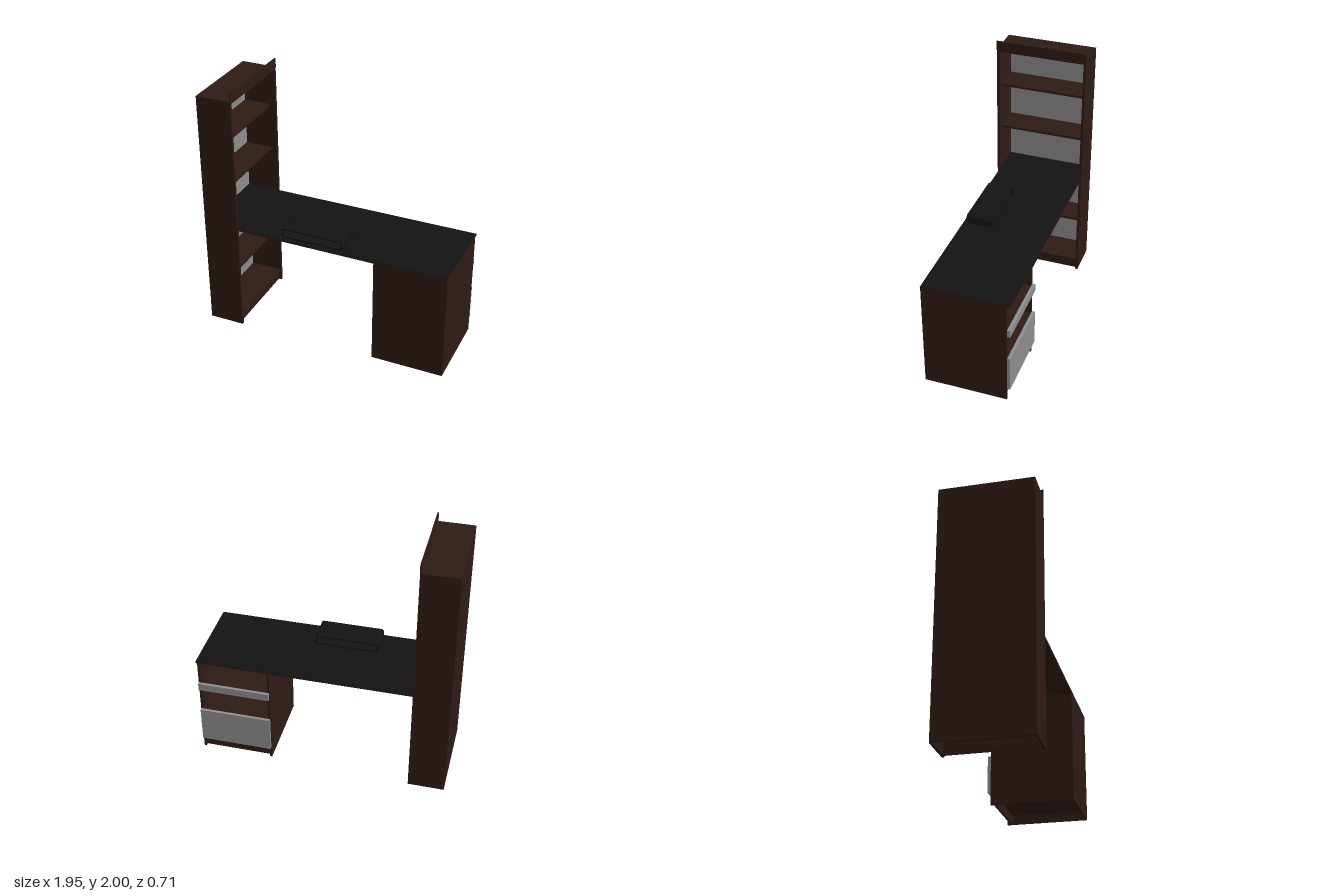
import * as THREE from 'three';

const wood = new THREE.MeshStandardMaterial({ color: 0x2e1a15 });
const black = new THREE.MeshStandardMaterial({ color: 0x131313 });
const grey = new THREE.MeshStandardMaterial({ color: 0x8c8c8c });

// Adds a box given by its minimum and maximum on each axis
function board(parent, name, [x0, x1], [y0, y1], [z0, z1], material = wood) {
  const mesh = new THREE.Mesh(new THREE.BoxGeometry(x1 - x0, y1 - y0, z1 - z0), material);
  mesh.position.set((x0 + x1) / 2, (y0 + y1) / 2, (z0 + z1) / 2);
  mesh.name = name;
  parent.add(mesh);
  return mesh;
}

// Traces a rounded rectangle into a Shape or Path
function roundedRect(path, w, h, r) {
  const x = w / 2 - r, y = h / 2 - r;
  path.absarc(x, y, r, 0, Math.PI / 2);
  path.absarc(-x, y, r, Math.PI / 2, Math.PI);
  path.absarc(-x, -y, r, Math.PI, Math.PI * 1.5);
  path.absarc(x, -y, r, Math.PI * 1.5, Math.PI * 2);
  path.closePath();
  return path;
}

// Tall bookcase, open towards +x
function createBookcase() {
  const g = new THREE.Group();
  g.name = 'bookcase';
  const inner = [-0.335, 0.335];
  board(g, 'bookcaseSideFront', [-0.975, -0.695], [0, 1.93], [0.335, 0.355]);
  board(g, 'bookcaseSideBack', [-0.975, -0.695], [0, 1.93], [-0.355, -0.335]);
  board(g, 'bookcaseTop', [-0.975, -0.695], [1.912, 1.93], inner);
  board(g, 'bookcaseOuterBack', [-0.975, -0.968], [0, 1.912], inner);
  board(g, 'bookcaseBackPanel', [-0.968, -0.962], [0.09, 1.912], inner, grey);
  for (const y of [0.09, 0.475, 1.24, 1.61])
    board(g, 'shelf', [-0.962, y === 0.09 ? -0.7 : -0.74], [y - 0.009, y + 0.009], inner);
  board(g, 'bookcasePlinth', [-0.735, -0.72], [0, 0.081], inner);
  board(g, 'topRail', [-0.703, -0.693], [1.925, 2], [-0.355, 0.355]);
  return g;
}

// Drawer pedestal, open towards -z
function createPedestal() {
  const g = new THREE.Group();
  g.name = 'pedestal';
  const inner = [0.423, 0.952];
  board(g, 'pedestalSideLeft', [0.952, 0.97], [0, 0.852], [-0.31, 0.33]);
  board(g, 'pedestalSideRight', [0.405, 0.423], [0, 0.852], [-0.31, 0.33]);
  board(g, 'pedestalPanel', inner, [0, 0.852], [0.312, 0.33]);
  board(g, 'pedestalBase', inner, [0.072, 0.09], [-0.31, 0.312]);
  board(g, 'pedestalPlinth', inner, [0, 0.072], [-0.285, -0.267]);
  board(g, 'pedestalTopRail', inner, [0.832, 0.852], [-0.31, -0.292]);
  // Drawer fronts, each with a board behind its upper edge
  for (const [y0, y1] of [[0.1, 0.39], [0.59, 0.65]]) {
    board(g, 'drawerBoard', inner, [y1 - 0.025, y1 - 0.007], [-0.31, 0.312]);
    board(g, 'drawerFront', [0.408, 0.967], [y0, y1], [-0.335, -0.311], grey);
  }
  return g;
}

// Desk top running through the bookcase
function createDesktop() {
  const g = new THREE.Group();
  g.name = 'desktop';
  board(g, 'desktopBoard', [-0.962, 0.97], [0.852, 0.867], [-0.335, 0.332]);
  board(g, 'desktopSurface', [-0.962, 0.97], [0.867, 0.87], [-0.335, 0.332], black);
  return g;
}

// Hollow rounded stand on the desk
function createStand() {
  const w = 0.495, h = 0.078, t = 0.013;
  const shape = roundedRect(new THREE.Shape(), w, h, 0.02);
  shape.holes.push(roundedRect(new THREE.Path(), w - 2 * t, h - 2 * t, 0.01));
  const geometry = new THREE.ExtrudeGeometry(shape, { depth: 0.205, bevelEnabled: false, curveSegments: 6 });
  const stand = new THREE.Mesh(geometry, black);
  stand.position.set(-0.1, 0.87 + h / 2, 0.095);
  stand.name = 'deskStand';
  return stand;
}

export function createModel() {
  const model = new THREE.Group();
  model.name = 'deskWithBookcase';
  model.add(createBookcase(), createPedestal(), createDesktop(), createStand());
  return model;
}
